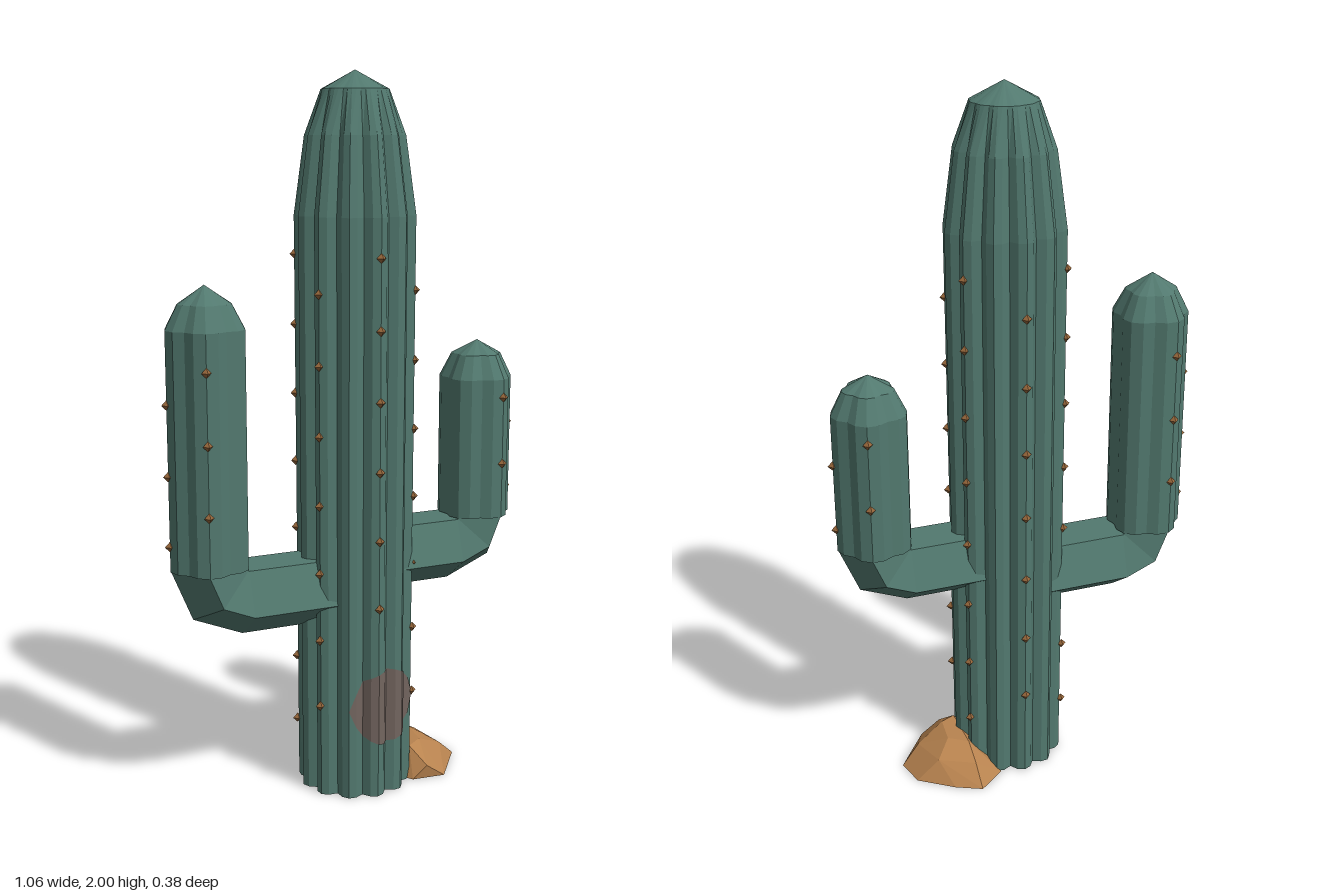
import * as THREE from 'three';
import { ConvexGeometry } from 'three/addons/geometries/ConvexGeometry.js';

const CX = 0.02, CZ = 0.015, DEPTH = 0.16;

// Rounded lobes with sharp valleys between them
const lobe = (a, n, depth) => 1 - depth * (1 - Math.abs(Math.cos(a * n / 2)));

// Skin closed rings of points, each ring having the same count
function skin(rings, flip = false) {
  const n = rings[0].length, pos = [], idx = [];
  rings.forEach(r => r.forEach(p => pos.push(...p)));
  for (let j = 0; j < rings.length - 1; j++) {
    for (let i = 0; i < n; i++) {
      const k = (i + 1) % n;
      const a = j * n + i, b = j * n + k, c = b + n, d = a + n;
      if (flip) idx.push(a, c, b, a, d, c);
      else idx.push(a, b, c, a, c, d);
    }
  }
  const g = new THREE.BufferGeometry();
  g.setAttribute('position', new THREE.Float32BufferAttribute(pos, 3));
  g.setIndex(idx);
  g.computeVertexNormals();
  return g;
}

// Upright ribbed column from [y, radius, rib depth] rings
function ribbed(x, z, lobes, phase, profile) {
  const n = lobes * 4;
  return skin(profile.map(([y, r, depth = DEPTH]) =>
    Array.from({ length: n }, (_, i) => {
      const a = (i / n) * Math.PI * 2, q = r * lobe(a, lobes, depth);
      return [x + q * Math.sin(a + phase), y, z + q * Math.cos(a + phase)];
    })));
}

// Five-sided elbow leaving the trunk sideways and turning upward
function elbow(side, y, bendX, bend, r) {
  const ring = (x, cy, t) => Array.from({ length: 5 }, (_, i) => {
    const b = (i / 5) * Math.PI * 2, o = r * Math.cos(b);
    return [side * (x + o * Math.sin(t)), cy - o * Math.cos(t), 0.0125 + r * Math.sin(b)];
  });
  const rings = [ring(0.05, y, 0)];
  for (let k = 0; k <= 2; k++) {
    const t = k * Math.PI / 4;
    rings.push(ring(bendX + bend * Math.sin(t), y + bend * (1 - Math.cos(t)), t));
  }
  return skin(rings, side > 0);
}

export function createModel() {
  const model = new THREE.Group();
  const mat = (name, color) => {
    const m = new THREE.MeshStandardMaterial({ color });
    m.name = name;
    m.flatShading = true;
    return m;
  };
  const green = mat('cactusGreen', 0x52796f);
  const spineBrown = mat('spineBrown', 0x94653a);
  const sand = mat('sandstone', 0xb8834f);
  const scar = mat('scarPink', 0x73655f);
  scar.side = THREE.DoubleSide;

  const add = (parent, name, geometry, material) => {
    const m = new THREE.Mesh(geometry, material);
    m.name = name;
    parent.add(m);
    return m;
  };

  const spineGeo = new THREE.OctahedronGeometry(0.014);
  const spines = (parent, x, z, r, angle, y0, count, step = 0.192) => {
    for (let i = 0; i < count; i++) {
      add(parent, 'spine', spineGeo, spineBrown).position.set(
        x + r * Math.sin(angle), y0 + i * step, z + r * Math.cos(angle));
    }
  };

  // Trunk with twelve ribs and a shallow pointed crown
  const trunk = new THREE.Group();
  trunk.name = 'trunk';
  model.add(trunk);
  add(trunk, 'trunkBody', ribbed(CX, CZ, 12, 0, [
    [0, 0], [0, 0.161], [1.62, 0.166], [1.83, 0.137], [1.95, 0.092, 0.04], [2, 0],
  ]), green);

  // Spines on every other rib, in staggered rows
  for (let k = 0; k < 6; k++) {
    const a = k * Math.PI / 3;
    if (k === 0) spines(trunk, CX, CZ, 0.165, a, 0.555, 6);
    else if (k % 2) spines(trunk, CX, CZ, 0.165, a, 0.267, 7);
    else spines(trunk, CX, CZ, 0.165, a, 0.171, 8);
  }

  // Thin discoloured patch following the ribs
  const pos = [], idx = [];
  for (let k = -4; k <= 8; k++) {
    const a = k * Math.PI / 24, r = 0.165 * lobe(a, 12, DEPTH);
    const u = (r * Math.sin(a) - 0.033) / 0.105;
    const h = 0.108 * Math.sqrt(Math.max(0, 1 - u * u));
    for (const s of [-1, 1]) pos.push(CX + r * Math.sin(a), 0.26 + s * h, CZ + r * Math.cos(a));
    const v = (k + 4) * 2;
    if (k < 8) idx.push(v, v + 2, v + 3, v, v + 3, v + 1);
  }
  const patch = new THREE.BufferGeometry();
  patch.setAttribute('position', new THREE.Float32BufferAttribute(pos, 3));
  patch.setIndex(idx);
  patch.computeVertexNormals();
  add(trunk, 'scarPatch', patch, scar);

  // Arms: elbow, five-ribbed upright, domed tip
  const arms = [
    { name: 'rightArm', side: -1, y: 0.592, bend: 0.092, r: 0.11, top: 1.335, peak: 1.45,
      outer: [0.755, 3], flank: [0.85, 3] },
    { name: 'leftArm', side: 1, y: 0.667, bend: 0.087, r: 0.106, top: 1.155, peak: 1.26,
      outer: [0.82, 2], flank: [0.912, 2] },
  ];
  for (const { name, side, y, bend, r, top, peak, outer, flank } of arms) {
    const arm = new THREE.Group();
    arm.name = name;
    model.add(arm);
    const x = side * (0.32 + bend), z = 0.0125, phase = side * Math.PI / 2;
    add(arm, 'elbow', elbow(side, y, 0.32, bend, r - 0.002), green);
    add(arm, 'upright', ribbed(x, z, 5, phase, [
      [y + bend, 0], [y + bend, r], [top, r], [top + 0.066, r * 0.68], [peak, 0],
    ]), green);
    spines(arm, x, z, r, phase, ...outer);
    for (const s of [-1, 1]) spines(arm, x, z, r, phase + s * Math.PI * 0.4, ...flank);
  }

  // Faceted rock leaning against the trunk
  const rock = [
    [0.168, 0, -0.19], [0.24, 0, -0.155], [0.335, 0, -0.085], [0.355, 0, 0],
    [0.257, 0, 0.13], [0.16, 0, 0.12], [0.08, 0, 0], [0.09, 0, -0.13],
    [0.17, 0.085, 0.075], [0.17, 0.088, -0.07], [0.225, 0.093, -0.04], [0.215, 0.09, 0.05],
    [0.27, 0.06, -0.09], [0.17, 0.055, -0.135], [0.2, 0.04, 0.13], [0.3, 0.05, 0.02],
  ].map(p => new THREE.Vector3(...p));
  add(model, 'rock', new ConvexGeometry(rock), sand);

  return model;
}
